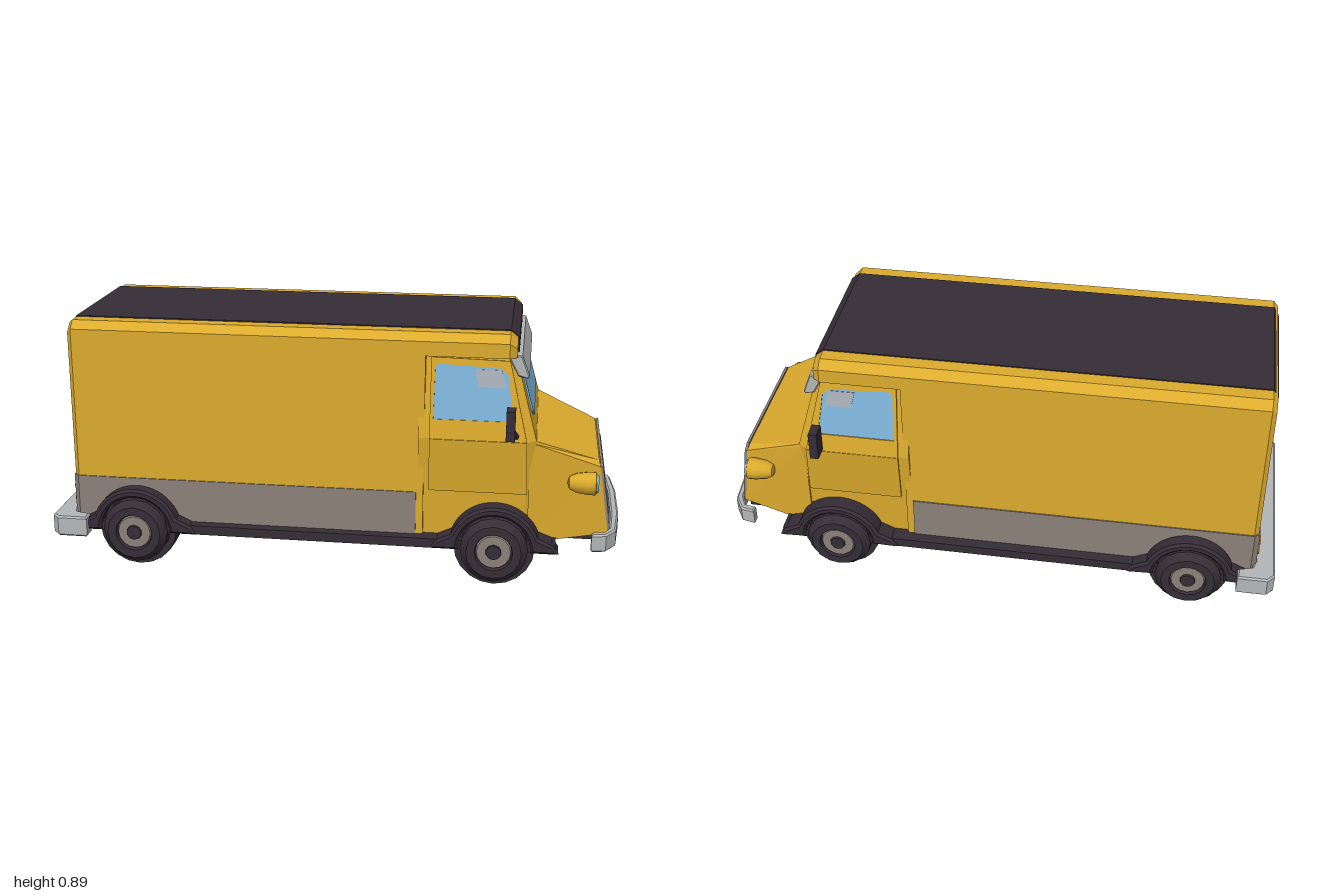
import * as THREE from 'three';
import { toCreasedNormals } from 'three/addons/utils/BufferGeometryUtils.js';

const paint = (name, color) => {
  const m = new THREE.MeshStandardMaterial({ color });
  m.name = name;
  return m;
};

// Shape from a list of [x, y] points
const poly = (pts) => new THREE.Shape(pts.map((p) => new THREE.Vector2(p[0], p[1])));

// Solid through rings of equal point count, with flat end caps, wound outwards
function loft(rings) {
  const out = [], n = rings[0].length;
  const tri = (a, b, c) => out.push([a, b, c]);
  for (let r = 0; r < rings.length - 1; r++) {
    for (let i = 0; i < n; i++) {
      const j = (i + 1) % n, A = rings[r], B = rings[r + 1];
      tri(A[i], A[j], B[j]);
      tri(A[i], B[j], B[i]);
    }
  }
  const last = rings[rings.length - 1];
  for (let i = 1; i < n - 1; i++) {
    tri(rings[0][0], rings[0][i + 1], rings[0][i]);
    tri(last[0], last[i], last[i + 1]);
  }
  const v = (p) => new THREE.Vector3(...p);
  const volume = out.reduce((s, [a, b, c]) => s + v(a).dot(v(b).cross(v(c))), 0);
  const flat = out.flatMap(([a, b, c]) => (volume > 0 ? [a, b, c] : [a, c, b])).flat();
  const g = new THREE.BufferGeometry();
  g.setAttribute('position', new THREE.Float32BufferAttribute(flat, 3));
  g.computeVertexNormals();
  return g;
}

// Copy mirrored to the other side, with corner order kept outwards
function mirrorZ(geo) {
  const g = geo.index ? geo.toNonIndexed() : geo.clone();
  g.scale(1, 1, -1);
  for (const a of Object.values(g.attributes)) {
    for (let i = 0; i < a.count; i += 3) {
      for (let k = 0; k < a.itemSize; k++) {
        const t = a.getComponent(i + 1, k);
        a.setComponent(i + 1, k, a.getComponent(i + 2, k));
        a.setComponent(i + 2, k, t);
      }
    }
  }
  g.computeVertexNormals();
  return toCreasedNormals(g, 0.6);
}

const extrude = (shape, depth, bevel = 0) => new THREE.ExtrudeGeometry(shape, {
  depth, curveSegments: 10, bevelEnabled: bevel > 0, bevelSize: bevel,
  bevelThickness: bevel, bevelOffset: -bevel, bevelSegments: 1,
});
const box = (x0, x1, y0, y1, z0, z1) =>
  new THREE.BoxGeometry(x1 - x0, y1 - y0, z1 - z0)
    .translate((x0 + x1) / 2, (y0 + y1) / 2, (z0 + z1) / 2);

export function createModel() {
  const van = new THREE.Group();
  van.name = 'deliveryVan';
  const yellow = paint('yellow', 0xdcab2e);
  const dark = paint('dark', 0x362d36);
  const stone = paint('stoneGrey', 0x8b817a);
  const silver = paint('silver', 0xb4b6b8);
  const glass = paint('glass', 0x80b6dc);
  const glint = paint('glint', 0xaab2ba);
  const slot = paint('slotBrown', 0x5f5550);
  const amber = paint('amber', 0xd2972a);

  const add = (name, geo, mat) => {
    const m = new THREE.Mesh(geo, mat);
    m.name = name;
    van.add(m);
    return m;
  };
  const pair = (name, geo, mat) => {
    add(name + 'Left', toCreasedNormals(geo, 0.6), mat);
    add(name + 'Right', mirrorZ(geo), mat);
  };

  // Cargo box and the roof overhang above the cab
  const section = (x, base, inset) => {
    const half = [[base, 0.335 - inset], [0.835 - inset, 0.335 - inset], [0.862 - inset, 0.305 - inset]];
    return [...half.map(([y, z]) => [x, y, z]), ...half.reverse().map(([y, z]) => [x, y, -z])];
  };
  add('cargoBox', loft([section(-0.93, 0.14, 0.014), section(-0.914, 0.14, 0), section(0.32, 0.14, 0)]), yellow);
  add('roofOverhang', loft([section(0.32, 0.785, 0), section(0.6, 0.785, 0), section(0.625, 0.785, 0.02)]), yellow);
  add('roofPanel', extrude(poly([[-0.934, 0.835], [-0.916, 0.866], [0.6, 0.866], [0.63, 0.842], [0.63, 0.785],
    [0.55, 0.785], [0.55, 0.82], [-0.9, 0.82]]), 0.51).translate(0, 0, -0.255), dark);

  // Grey lower band wrapping the sides and the back
  const band = (x, w) => [[x, 0.13, w], [x, 0.3, w], [x, 0.3, -w], [x, 0.13, -w]];
  add('lowerBand', loft([band(-0.934, 0.324), band(-0.916, 0.339), band(0.295, 0.339)]), stone);

  // Cab, as rings stacked upwards
  const ring = ([y, xf, w]) => [[0.3, y, w], [xf - 0.03, y, w], [xf, y, w - 0.02],
    [xf, y, -w + 0.02], [xf - 0.03, y, -w], [0.3, y, -w]];
  add('cab', loft([[0.13, 0.7, 0.32], [0.31, 0.7, 0.328], [0.5, 0.7, 0.345], [0.79, 0.62, 0.305]].map(ring)), yellow);

  // Nose, from the cab front to the grille
  const nose = (pts) => [...pts, ...pts.slice().reverse().map(([x, y, z]) => [x, y, -z])];
  add('nose', loft([
    nose([[0.68, 0.13, 0.325], [0.68, 0.495, 0.33], [0.69, 0.502, 0.325]]),
    nose([[0.958, 0.155, 0.26], [0.921, 0.4, 0.268], [0.916, 0.416, 0.245]]),
  ]), yellow);

  // Panels facing forwards, leaning back by a tilt
  const facing = (name, shape, depth, x, y, tilt, mat) => {
    const m = add(name, extrude(shape, depth), mat);
    m.position.set(x, y, 0);
    m.rotation.set(-tilt, Math.PI / 2, 0, 'YXZ');
  };
  facing('grille', poly([[-0.26, 0], [0.26, 0], [0.268, 0.247], [0.245, 0.265], [-0.245, 0.265], [-0.268, 0.247]]),
    0.009, 0.958, 0.155, 0.15, stone);
  for (let i = 0; i < 4; i++) {
    const s = new THREE.Shape(), v = 0.058 + i * 0.049;
    s.absarc(0.19, v, 0.0125, -Math.PI / 2, Math.PI / 2);
    s.absarc(-0.19, v, 0.0125, Math.PI / 2, Math.PI * 1.5);
    facing('grilleSlot' + (i + 1), s, 0.012, 0.958, 0.155, 0.15, slot);
  }
  facing('windshield', poly([[-0.21, 0.06], [0.21, 0.06], [0.232, 0.08], [0.228, 0.24], [-0.228, 0.24], [-0.232, 0.08]]),
    0.006, 0.7, 0.5, 0.269, glass);
  add('sunVisor', extrude(poly([[0.595, 0.785], [0.605, 0.792], [0.642, 0.79], [0.668, 0.72], [0.662, 0.711], [0.63, 0.72]]),
    0.61, 0.004).translate(0, 0, -0.305), silver);

  // Doors: lower panel, window frame, glass
  const side = (shape, depth, y, z, tilt) => extrude(shape, depth).rotateX(-tilt).translate(0, y, z);
  pair('doorPanel', side(poly([[0.338, 0], [0.675, 0], [0.668, 0.191], [0.338, 0.191]]), 0.007, 0.31, 0.328, -0.09), yellow);
  const pane = [[0.35, 0.068], [0.612, 0.068], [0.618, 0.085], [0.598, 0.225], [0.575, 0.248], [0.36, 0.258], [0.352, 0.245]];
  const frame = poly([[0.338, 0], [0.668, 0], [0.603, 0.274], [0.338, 0.28]]);
  frame.holes.push(poly(pane));
  pair('doorFrame', side(frame, 0.007, 0.5, 0.345, 0.137), yellow);
  pair('doorWindow', side(poly(pane), 0.003, 0.5, 0.345, 0.137), glass);
  pair('windowGlint', side(poly([[0.5, 0.182], [0.592, 0.182], [0.575, 0.242], [0.485, 0.242]]), 0.005, 0.5, 0.345, 0.137), glint);

  // Wing mirrors
  pair('mirror', box(0.598, 0.628, 0.527, 0.63, 0.372, 0.43), dark);
  pair('mirrorArm', new THREE.TubeGeometry(new THREE.LineCurve3(
    new THREE.Vector3(0.635, 0.51, 0.335), new THREE.Vector3(0.615, 0.555, 0.385)), 1, 0.011, 6), dark);

  // Headlights
  const lamp = [[0, 0], [0.022, 0.006], [0.034, 0.03], [0.04, 0.07], [0.04, 0.095], [0.034, 0.098], [0, 0.098]];
  pair('headlight', new THREE.LatheGeometry(lamp.map((p) => new THREE.Vector2(...p)), 12)
    .rotateZ(-Math.PI / 2).translate(0.81, 0.352, 0.308), yellow);
  pair('headlightLens', new THREE.CylinderGeometry(0.03, 0.036, 0.009, 12)
    .rotateZ(-Math.PI / 2).translate(0.911, 0.352, 0.308), glass);

  // Tail lights
  for (const y of [0.205, 0.25]) {
    pair('tailLight', new THREE.CylinderGeometry(0.017, 0.017, 0.008, 10)
      .rotateZ(Math.PI / 2).translate(-0.936, y, 0.295), amber);
  }

  // Chassis and running boards
  add('chassis', box(-0.87, 0.78, 0.113, 0.146, -0.378, 0.378), dark);
  add('frontUndertray', box(0.75, 0.945, 0.125, 0.157, -0.25, 0.25), dark);

  // Wheels with fenders
  const tyre = [[0.05, -0.07], [0.095, -0.07], [0.117, -0.045], [0.117, 0.045], [0.095, 0.07], [0.066, 0.07], [0.062, 0.055], [0, 0.055]];
  for (const [end, x] of [['front', 0.57], ['rear', -0.7]]) {
    const place = (g, z) => g.rotateX(Math.PI / 2).translate(x, 0.117, z);
    pair(end + 'Tyre', place(new THREE.LatheGeometry(tyre.map((p) => new THREE.Vector2(...p)), 16), 0.335), dark);
    pair(end + 'Rim', place(new THREE.CylinderGeometry(0.058, 0.062, 0.008, 16), 0.394), stone);
    pair(end + 'Hub', place(new THREE.CylinderGeometry(0.026, 0.03, 0.014, 10), 0.398), dark);
    pair(end + 'WheelWell', place(new THREE.CylinderGeometry(0.14, 0.14, 0.09, 20), 0.3), dark);
    const arch = new THREE.Shape();
    arch.moveTo(0.22, 0);
    arch.lineTo(0.2, 0.03);
    arch.lineTo(0.168, 0.045);
    arch.absarc(0, 0, 0.158, 0.35, Math.PI - 0.35);
    arch.lineTo(-0.168, 0.045);
    arch.lineTo(-0.2, 0.03);
    arch.lineTo(-0.22, 0);
    arch.absarc(0, 0, 0.126, Math.PI, 0, true);
    pair(end + 'Fender', extrude(arch, 0.075, 0.009).translate(x, 0.115, 0.306), dark);
  }

  // Bumpers, bent bars drawn from above
  const bar = (half, height, y) => extrude(poly([...half, ...half.slice().reverse().map(([x, z]) => [x, -z])]),
    height - 0.016, 0.008).rotateX(-Math.PI / 2).translate(0, y + 0.008, 0);
  const bumper = (name, outer, inner, height, y) => {
    const flip = (p) => p.slice().reverse().map(([x, z]) => [x, -z]);
    const shape = poly([...outer, ...flip(outer), ...inner, ...flip(inner)]);
    add(name, extrude(shape, height - 0.012, 0.006).rotateX(-Math.PI / 2).translate(0, y + 0.006, 0), silver);
  };
  bumper('frontBumper', [[0.9, -0.345], [0.95, -0.335], [0.985, -0.28], [1, -0.12]],
    [[0.9, 0.315], [0.94, 0.308], [0.962, 0.265], [0.972, 0.12]], 0.064, 0.114);
  bumper('rearBumper', [[-0.87, -0.412], [-0.975, -0.412], [-1, -0.385]],
    [[-0.87, 0.365], [-0.92, 0.35], [-0.93, 0.32]], 0.074, 0.094);
  for (const z of [-0.2, 0.2]) {
    add('frontBumperBracket', box(0.9, 0.98, 0.13, 0.16, z - 0.02, z + 0.02), dark);
    add('rearBumperBracket', bar([[-0.95, -0.02], [-0.86, -0.02]], 0.03, 0.115).translate(0, 0, z), dark);
  }
  return van;
}
